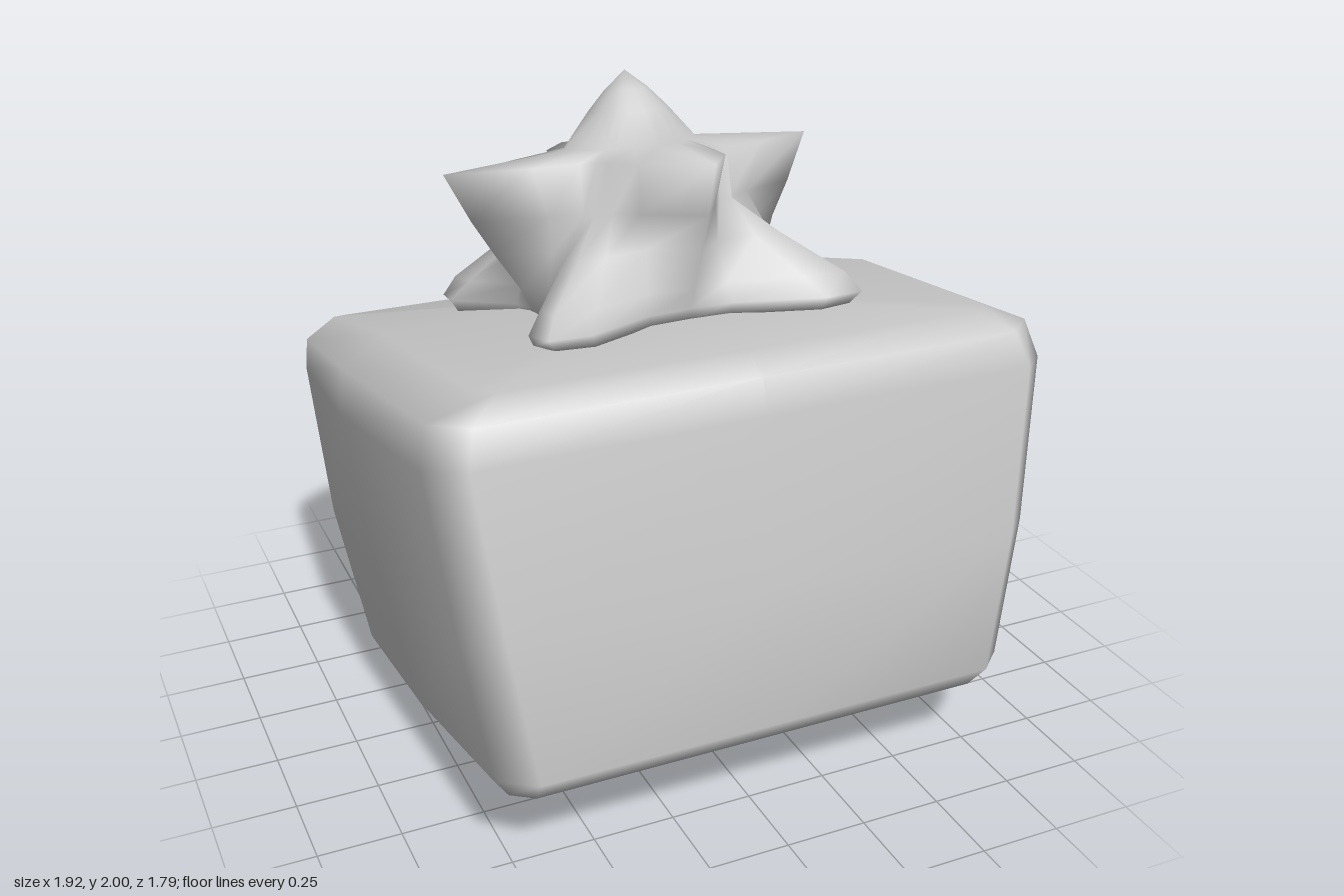
import * as THREE from 'three';

const material = new THREE.MeshStandardMaterial({ color: 0xcccccc });

// Smooth closed skin over equal-length rings, listed bottom to top, with both ends capped.
function loft(rings, bottomCentre, topCentre) {
  const n = rings[0].length;
  const points = [...rings.flat(), bottomCentre, topCentre];
  const bottom = points.length - 2, top = points.length - 1;
  const last = (rings.length - 1) * n;
  const index = [];
  for (let j = 0; j < n; j++) {
    const k = (j + 1) % n;
    for (let i = 0; i < last; i += n) {
      index.push(i + j, i + k, i + n + k, i + j, i + n + k, i + n + j);
    }
    index.push(bottom, k, j, top, last + j, last + k);
  }
  const geometry = new THREE.BufferGeometry().setFromPoints(points);
  geometry.setIndex(index);
  geometry.computeVertexNormals();
  return geometry;
}

// One sloping level of the block: front and back edge, half widths, corner cut, crown height.
function blockRing({ front: [zf, yf], back: [zb, yb], widths: [wf, wm, wb], cut, lift = 0 }) {
  const half = [
    [0, zf], [wf - cut, zf], [wf, zf - cut], [wm, (zf + zb) / 2],
    [wb, zb + cut], [wb - cut, zb], [0, zb],
  ];
  const mirrored = half.slice(1, -1).reverse().map(([x, z]) => [-x, z]);
  return [...half, ...mirrored].map(([x, z]) => {
    const t = (z - zb) / (zf - zb);
    return new THREE.Vector3(x, yb + (yf - yb) * t + 4 * t * (1 - t) * lift, z);
  });
}

function createBlock() {
  const levels = [
    { front: [0.83, 0.26], back: [-0.5, 0], widths: [0.76, 0.77, 0.75], cut: 0.06 },
    { front: [0.9, 0.35], back: [-0.59, 0.04], widths: [0.81, 0.83, 0.81], cut: 0.1 },
    { front: [0.87, 0.78], back: [-0.75, 0.46], widths: [0.88, 0.91, 0.87], cut: 0.1 },
    { front: [0.8, 1.27], back: [-0.895, 0.93], widths: [0.94, 0.96, 0.89], cut: 0.1 },
    { front: [0.76, 1.37], back: [-0.895, 1.02], widths: [0.91, 0.94, 0.88], cut: 0.1, lift: 0.04 },
    { front: [0.68, 1.42], back: [-0.86, 1.09], widths: [0.77, 0.81, 0.78], cut: 0.05, lift: 0.06 },
  ];
  const block = new THREE.Mesh(
    loft(levels.map(blockRing), new THREE.Vector3(0, 0.13, 0.165), new THREE.Vector3(0, 1.33, -0.06)),
    material,
  );
  block.name = 'block';
  return block;
}

// Star bow: four level spikes on the axes, four splayed legs on the diagonals, one knob on top.
function createStar() {
  // Each level: height, then radius at 0, 20, 36 and 45 degrees from a spike.
  const levels = [
    [-0.465, 0.34, 0.37, 0.6, 0.65],
    [-0.43, 0.355, 0.385, 0.62, 0.69],
    [-0.37, 0.385, 0.37, 0.55, 0.64],
    [-0.25, 0.46, 0.34, 0.4, 0.45],
    [-0.146, 0.52, 0.34, 0.29, 0.31],
    [0, 0.59, 0.395, 0.29, 0.26],
    [0.03, 0.21, 0.2, 0.19, 0.19],
    [0.13, 0.12, 0.12, 0.12, 0.12],
    [0.19, 0.065, 0.065, 0.065, 0.065],
  ];
  const spread = [[0, 0], [20, 1], [36, 2], [45, 3], [54, 2], [70, 1]];
  const rings = levels.map(([y, ...radii]) => {
    const ring = [];
    for (let quarter = 0; quarter < 4; quarter++) {
      for (const [degrees, slot] of spread) {
        const a = THREE.MathUtils.degToRad(quarter * 90 + degrees);
        ring.push(new THREE.Vector3(Math.sin(a) * radii[slot], y, Math.cos(a) * radii[slot]));
      }
    }
    return ring;
  });
  const star = new THREE.Mesh(
    loft(rings, new THREE.Vector3(0, -0.465, 0), new THREE.Vector3(0, 0.245, 0)),
    material,
  );
  star.name = 'starTopper';
  star.position.set(0, 1.76, -0.12);
  star.rotation.x = -0.196;
  return star;
}

export function createModel() {
  const model = new THREE.Group();
  model.name = 'blockWithStar';
  model.add(createBlock(), createStar());
  return model;
}
